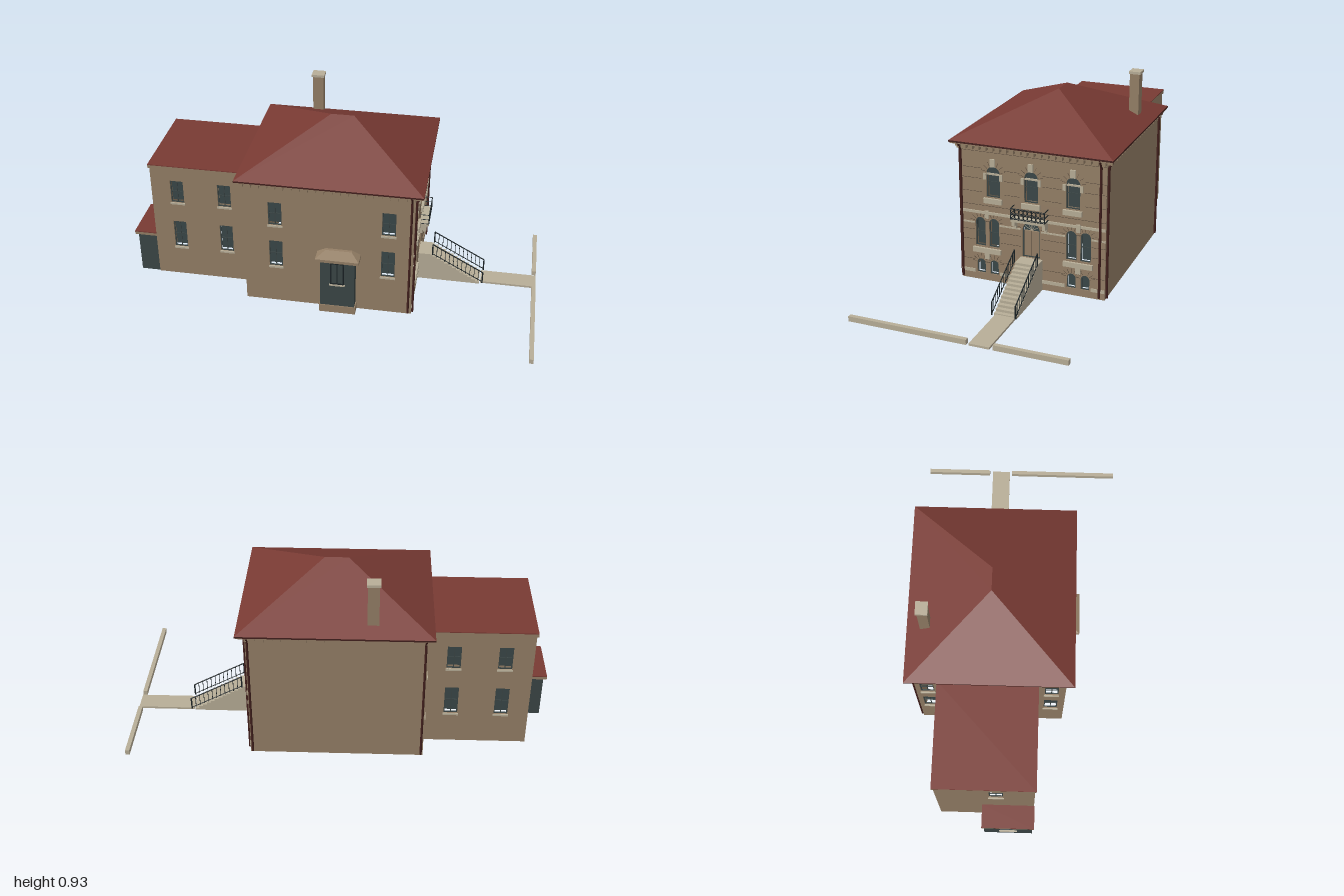
import * as THREE from 'three';

const mat = (name, color, side = THREE.FrontSide) => {
  const m = new THREE.MeshStandardMaterial({ color, side });
  m.name = name;
  return m;
};
const M = {
  stone: mat('brown stone', 0x947f66),
  roof: mat('red roof', 0x783a33),
  trim: mat('pale trim', 0xb7ad97),
  glass: mat('dark glass', 0x3a4748, THREE.DoubleSide),
  slate: mat('slate panel', 0x3b4646),
  iron: mat('black iron', 0x1d2528),
  pipe: mat('dark red pipe', 0x42201d),
  joint: mat('stone joint', 0x54473a),
};

const T = 0.012; // wall thickness

function add(parent, name, geo, material, x = 0, y = 0, z = 0) {
  const m = new THREE.Mesh(geo, material);
  m.name = name;
  m.position.set(x, y, z);
  parent.add(m);
  return m;
}
// box given by its minimum and maximum on each axis
function box(parent, name, material, x0, x1, y0, y1, z0, z1) {
  return add(parent, name, new THREE.BoxGeometry(x1 - x0, y1 - y0, z1 - z0), material,
    (x0 + x1) / 2, (y0 + y1) / 2, (z0 + z1) / 2);
}
function rod(parent, name, material, a, b, r) {
  const p = new THREE.Vector3(...a), q = new THREE.Vector3(...b);
  const m = add(parent, name, new THREE.CylinderGeometry(r, r, p.distanceTo(q), 6), material);
  m.position.copy(p).add(q).multiplyScalar(0.5);
  m.quaternion.setFromUnitVectors(new THREE.Vector3(0, 1, 0), q.sub(p).normalize());
  return m;
}
// outline of an opening, with an arched or flat head
function outline(Kind, { u, y0, y1, w, rise = 0 }, inset = 0) {
  const h = w / 2 - inset, s = new Kind();
  s.moveTo(u - h, y0 + inset);
  s.lineTo(u + h, y0 + inset);
  s.lineTo(u + h, y1 - (rise || inset));
  if (rise) s.absellipse(u, y1 - rise, h, rise - inset, 0, Math.PI, false, 0);
  else s.lineTo(u - h, y1 - inset);
  s.closePath();
  return s;
}
const extrude = (shape, depth) => new THREE.ExtrudeGeometry(shape, { depth, bevelEnabled: false, curveSegments: 12 });

// wall with true openings; local x runs along it and +z points outward
function wall(parent, name, material, u0, u1, h, openings, pos, turn) {
  const g = new THREE.Group();
  g.name = name;
  g.position.set(...pos);
  g.rotation.y = turn;
  parent.add(g);
  const s = new THREE.Shape([[u0, 0], [u1, 0], [u1, h], [u0, h]].map((p) => new THREE.Vector2(...p)));
  openings.forEach((o) => s.holes.push(outline(THREE.Path, o)));
  add(g, name + 'Panel', extrude(s, T), material, 0, 0, -T);
  openings.forEach((o) => windowParts(g, o));
  return g;
}
function windowParts(g, o) {
  const frame = outline(THREE.Shape, o);
  frame.holes.push(outline(THREE.Path, o, 0.005));
  add(g, 'windowFrame', extrude(frame, 0.005), M.slate, 0, 0, -0.011);
  add(g, 'windowGlass', new THREE.ShapeGeometry(outline(THREE.Shape, o)), M.glass, 0, 0, -0.03);
  if (!o.plain) {
    const mid = (o.y0 + o.y1) / 2;
    box(g, 'meetingRail', M.slate, o.u - o.w / 2, o.u + o.w / 2, mid - 0.002, mid + 0.002, -0.01, -0.006);
    if (!o.rise) {
      box(g, 'mullion', M.slate, o.u - 0.002, o.u + 0.002, o.y0, o.y1, -0.01, -0.006);
      box(g, 'sill', M.trim, o.u - o.w / 2 - 0.004, o.u + o.w / 2 + 0.004, o.y0 - 0.009, o.y0, -0.002, 0.006);
    }
  }
  // radiating joints of the arch stones
  if (o.rise) for (let i = 0; i < 7; i++) {
    const a = Math.PI * (i + 0.5) / 7, r = o.w / 2 + 0.016;
    const j = add(g, 'archJoint', new THREE.BoxGeometry(0.022, 0.0015, 0.002), M.joint,
      o.u + Math.cos(a) * r, o.y1 - o.rise + Math.sin(a) * r, 0);
    j.rotation.z = a;
  }
}
const win = (u, y0, y1, w = 0.065) => ({ u, y0, y1, w });
const arch = (u, y0, y1, w, plain) => ({ u, y0, y1, w, rise: w / 2, plain });

// entrance side: u = -z
function buildFacade(house) {
  const uppers = [-0.075, 0.11, 0.31], pairs = [-0.1075, 0.3375], door = 0.11;
  const openings = uppers.map((u) => arch(u, 0.42, 0.568, 0.066));
  for (const c of pairs) for (const s of [-1, 1]) {
    openings.push(arch(c + s * 0.034, 0.173, 0.315, 0.05), arch(c + s * 0.033, 0.035, 0.106, 0.042, true));
  }
  openings.push(arch(door, 0.152, 0.326, 0.085, true));
  const g = wall(house, 'entranceWall', M.stone, -0.24, 0.465, 0.675, openings, [0.41, 0, 0], Math.PI / 2);
  // window dressings
  for (const u of uppers) {
    box(g, 'upperSill', M.trim, u - 0.045, u + 0.045, 0.392, 0.416, 0, 0.012);
    box(g, 'transom', M.trim, u - 0.033, u + 0.033, 0.527, 0.535, -0.01, -0.003);
    box(g, 'keystone', M.trim, u - 0.012, u + 0.012, 0.569, 0.606, 0, 0.009);
    for (const s of [-1, 1]) box(g, 'impost', M.trim, u + s * 0.04 - 0.007, u + s * 0.04 + 0.007, 0.505, 0.535, 0, 0.006);
  }
  for (const c of pairs) {
    box(g, 'lowerSill', M.trim, c - 0.07, c + 0.07, 0.142, 0.166, 0, 0.012);
    box(g, 'sillBracket', M.trim, c - 0.012, c + 0.012, 0.112, 0.142, 0, 0.009);
    box(g, 'pairKeystone', M.trim, c - 0.01, c + 0.01, 0.315, 0.352, 0, 0.009);
  }
  // belt courses and joints, kept clear of the openings
  const band = (name, m, y0, y1, d, spans) => spans.forEach(([a, b]) => box(g, name, m, a, b, y0, y1, 0, d));
  band('beltCourse', M.trim, 0.335, 0.347, 0.006, [[-0.24, 0.465]]);
  const piers = [[-0.24, -0.17], [-0.045, 0.06], [0.16, 0.275], [0.4, 0.465]];
  band('springCourse', M.trim, 0.283, 0.29, 0.004, piers);
  band('baseCourse', M.trim, 0.034, 0.05, 0.004, piers);
  for (const y of [0.1, 0.2, 0.25]) band('stoneJoint', M.joint, y, y + 0.0015, 0.001, piers);
  for (const y of [0.375, 0.635]) band('stoneJoint', M.joint, y, y + 0.0015, 0.001, [[-0.24, 0.465]]);
  for (const y of [0.44, 0.505, 0.555]) {
    band('stoneJoint', M.joint, y, y + 0.0015, 0.001, [[-0.24, -0.13], [-0.02, 0.055], [0.165, 0.255], [0.365, 0.465]]);
  }
  // door with fanlight
  box(g, 'door', M.stone, door - 0.04, door + 0.04, 0.152, 0.28, -0.018, -0.009);
  box(g, 'doorSeam', M.joint, door - 0.001, door + 0.001, 0.152, 0.28, -0.009, -0.008);
  for (let i = 1; i < 6; i++) {
    const a = Math.PI * i / 6;
    rod(g, 'fanlightSpoke', M.trim, [door, 0.283, -0.01], [door + Math.cos(a) * 0.04, 0.283 + Math.sin(a) * 0.04, -0.01], 0.0012);
  }
  // balcony
  const b0 = door - 0.082, b1 = door + 0.082, d = 0.045;
  box(g, 'balconySlab', M.trim, b0, b1, 0.335, 0.347, 0, d);
  for (const u of [b0 + 0.008, b1 - 0.008]) {
    box(g, 'balconyBracket', M.trim, u - 0.007, u + 0.007, 0.31, 0.335, 0, 0.035);
    box(g, 'balconyBracketFoot', M.trim, u - 0.006, u + 0.006, 0.292, 0.31, 0, 0.016);
  }
  for (const y of [0.35, 0.374, 0.4]) {
    rod(g, 'balconyRail', M.iron, [b0, y, d], [b1, y, d], 0.002);
    for (const u of [b0, b1]) rod(g, 'balconySideRail', M.iron, [u, y, 0], [u, y, d], 0.002);
  }
  for (let i = 0; i <= 8; i++) {
    const u = b0 + (b1 - b0) * i / 8;
    rod(g, 'balconyBar', M.iron, [u, 0.347, d], [u, 0.401, d], 0.0015);
    if (i < 8) for (const y of [0.362, 0.387]) {
      add(g, 'balconyRing', new THREE.TorusGeometry(0.009, 0.0014, 4, 12), M.iron, u + 0.01025, y, d);
    }
  }
}

function buildMain(root) {
  const g = new THREE.Group();
  g.name = 'mainHouse';
  root.add(g);
  const two = (us) => us.flatMap((u) => [win(u, 0.44, 0.565), win(u, 0.205, 0.35)]);
  wall(g, 'frontWall', M.stone, -0.4, 0.41, 0.675, two([-0.247, 0.292]), [0, 0, 0.24], 0);
  wall(g, 'backWall', M.stone, -0.41, 0.4, 0.675, [], [0, 0, -0.465], Math.PI);
  wall(g, 'rearWall', M.stone, -0.465, 0.24, 0.675, two([-0.41, 0.175]), [-0.4, 0, 0], -Math.PI / 2);
  buildFacade(g);
  // hip roof
  const [x0, x1, z0, z1, y, t] = [-0.43, 0.45, -0.503, 0.275, 0.684, 0.865];
  const A = [x0, y, z1], B = [x1, y, z1], C = [x1, y, z0], D = [x0, y, z0], R = [-0.04, t, -0.113], S = [0.07, t, -0.113];
  const geo = new THREE.BufferGeometry();
  geo.setAttribute('position', new THREE.Float32BufferAttribute(
    [A, B, S, A, S, R, B, C, S, C, D, R, C, R, S, D, A, R].flat(), 3));
  geo.computeVertexNormals();
  add(g, 'hipRoof', geo, M.roof);
  box(g, 'eaveSoffit', M.stone, x0 + 0.004, x1 - 0.004, 0.67, 0.676, z0 + 0.004, z1 - 0.004);
  box(g, 'gutter', M.pipe, x0, x1, 0.676, y, z0, z1);
  // eave brackets
  for (let i = 0; i <= 21; i++) {
    const x = -0.395 + 0.8 * i / 21, z = -0.46 + 0.695 * i / 21;
    for (const [a, b] of [[0.24, 0.262], [-0.487, -0.465]]) box(g, 'eaveBracket', M.stone, x - 0.005, x + 0.005, 0.648, 0.67, a, b);
    for (const [a, b] of [[0.41, 0.436], [-0.42, -0.4]]) box(g, 'eaveBracket', M.stone, a, b, 0.648, 0.67, z - 0.005, z + 0.005);
  }
  // downpipes
  for (const [x, z, dx, dz] of [[0.395, 0.246, 0, 0.026], [0.416, 0.232, 0.028, 0], [0.416, -0.44, 0.028, 0],
    [0.4, -0.471, 0, -0.026], [-0.39, -0.471, 0, -0.026]]) {
    rod(g, 'downpipe', M.pipe, [x, 0.01, z], [x, 0.635, z], 0.006);
    rod(g, 'downpipeElbow', M.pipe, [x, 0.635, z], [x + dx, 0.677, z + dz], 0.005);
  }
  // chimney
  box(g, 'chimney', M.stone, -0.182, -0.13, 0.67, 0.915, -0.438, -0.392);
  box(g, 'chimneyCap', M.trim, -0.188, -0.125, 0.913, 0.925, -0.444, -0.388);
}

function buildWing(root) {
  const g = new THREE.Group();
  g.name = 'rearWing';
  root.add(g);
  const two = (us) => us.flatMap((u) => [win(u, 0.425, 0.547), win(u, 0.165, 0.315)]);
  wall(g, 'wingFrontWall', M.stone, -0.89, -0.4, 0.615, two([-0.762, -0.527]), [0, 0, 0.107], 0);
  wall(g, 'wingBackWall', M.stone, 0.4, 0.89, 0.615, two([0.762, 0.527]), [0, 0, -0.35], Math.PI);
  wall(g, 'wingEndWall', M.stone, -0.35, 0.107, 0.615, [win(-0.07, 0.425, 0.547)], [-0.89, 0, 0], -Math.PI / 2);
  box(g, 'wingCornice', M.stone, -0.897, -0.4, 0.612, 0.628, -0.356, 0.113);
  box(g, 'wingRoof', M.roof, -0.897, -0.4, 0.628, 0.632, -0.356, 0.113);
  // rear lobby
  wall(g, 'lobbyFrontWall', M.slate, -0.985, -0.89, 0.218, [], [0, 0, 0.102], 0);
  wall(g, 'lobbyBackWall', M.slate, 0.89, 0.985, 0.218, [], [0, 0, -0.132], Math.PI);
  wall(g, 'lobbyEndWall', M.slate, -0.132, 0.102, 0.218, [win(-0.015, 0.07, 0.18, 0.08)], [-0.985, 0, 0], -Math.PI / 2);
  box(g, 'lobbyCornice', M.stone, -1, -0.89, 0.215, 0.229, -0.14, 0.11);
  box(g, 'lobbyRoof', M.roof, -1, -0.89, 0.229, 0.234, -0.14, 0.11);
}

function buildBay(root) {
  const g = new THREE.Group();
  g.name = 'sideBay';
  root.add(g);
  box(g, 'bayBase', M.stone, -0.03, 0.145, 0, 0.04, 0.24, 0.292);
  box(g, 'bayBody', M.slate, -0.025, 0.14, 0.04, 0.305, 0.24, 0.288);
  const o = win(0.0575, 0.168, 0.29);
  const f = outline(THREE.Shape, o);
  f.holes.push(outline(THREE.Path, o, 0.006));
  add(g, 'bayWindowFrame', extrude(f, 0.003), M.iron, 0, 0, 0.288);
  box(g, 'bayWindowMullion', M.iron, 0.055, 0.06, 0.168, 0.29, 0.288, 0.291);
  box(g, 'bayWindowSill', M.trim, 0.02, 0.095, 0.16, 0.168, 0.288, 0.294);
  // low hipped bay roof, narrowed toward the wall at the top
  box(g, 'bayEave', M.stone, -0.045, 0.163, 0.303, 0.318, 0.24, 0.31);
  const top = new THREE.BoxGeometry(0.208, 0.02, 0.07), p = top.attributes.position;
  for (let i = 0; i < p.count; i++) if (p.getY(i) > 0) {
    p.setX(i, p.getX(i) * 0.6);
    if (p.getZ(i) > 0) p.setZ(i, -0.02);
  }
  const flat = top.toNonIndexed();
  flat.computeVertexNormals();
  add(g, 'bayRoof', flat, M.stone, 0.059, 0.328, 0.275);
}

function buildApproach(root) {
  const g = new THREE.Group();
  g.name = 'entranceSteps';
  root.add(g);
  // stair side profile
  const n = 13, xa = 0.48, xb = 0.74, ya = 0.15, s = new THREE.Shape();
  s.moveTo(0.41, 0);
  s.lineTo(0.41, ya);
  for (let i = 0; i < n; i++) {
    const x = xa + (xb - xa) * i / n;
    s.lineTo(x, ya * (1 - i / n));
    s.lineTo(x, ya * (1 - (i + 1) / n));
  }
  s.closePath();
  add(g, 'stairs', extrude(s, 0.106), M.trim, 0, 0, -0.165);
  box(g, 'walk', M.trim, 0.725, 1, 0, 0.01, -0.162, -0.068);
  // handrails
  for (const z of [-0.168, -0.056]) {
    rod(g, 'handrail', M.iron, [xa, 0.212, z], [0.735, 0.072, z], 0.0028);
    rod(g, 'lowerRail', M.iron, [xa, 0.157, z], [0.735, 0.017, z], 0.002);
    for (let i = 0; i <= 12; i++) {
      const x = xa + 0.255 * i / 12, y = 0.212 - 0.14 * i / 12;
      rod(g, 'baluster', M.iron, [x, y - 0.062, z], [x, y, z], i % 12 ? 0.0016 : 0.0038);
    }
  }
  // street kerbs
  box(root, 'kerb', M.trim, 0.98, 1, 0, 0.024, -0.51, -0.178);
  box(root, 'kerb', M.trim, 0.98, 1, 0, 0.024, -0.056, 0.505);
}

export function createModel() {
  const root = new THREE.Group();
  root.name = 'townHouse';
  [buildMain, buildWing, buildBay, buildApproach].forEach((build) => build(root));
  return root;
}
